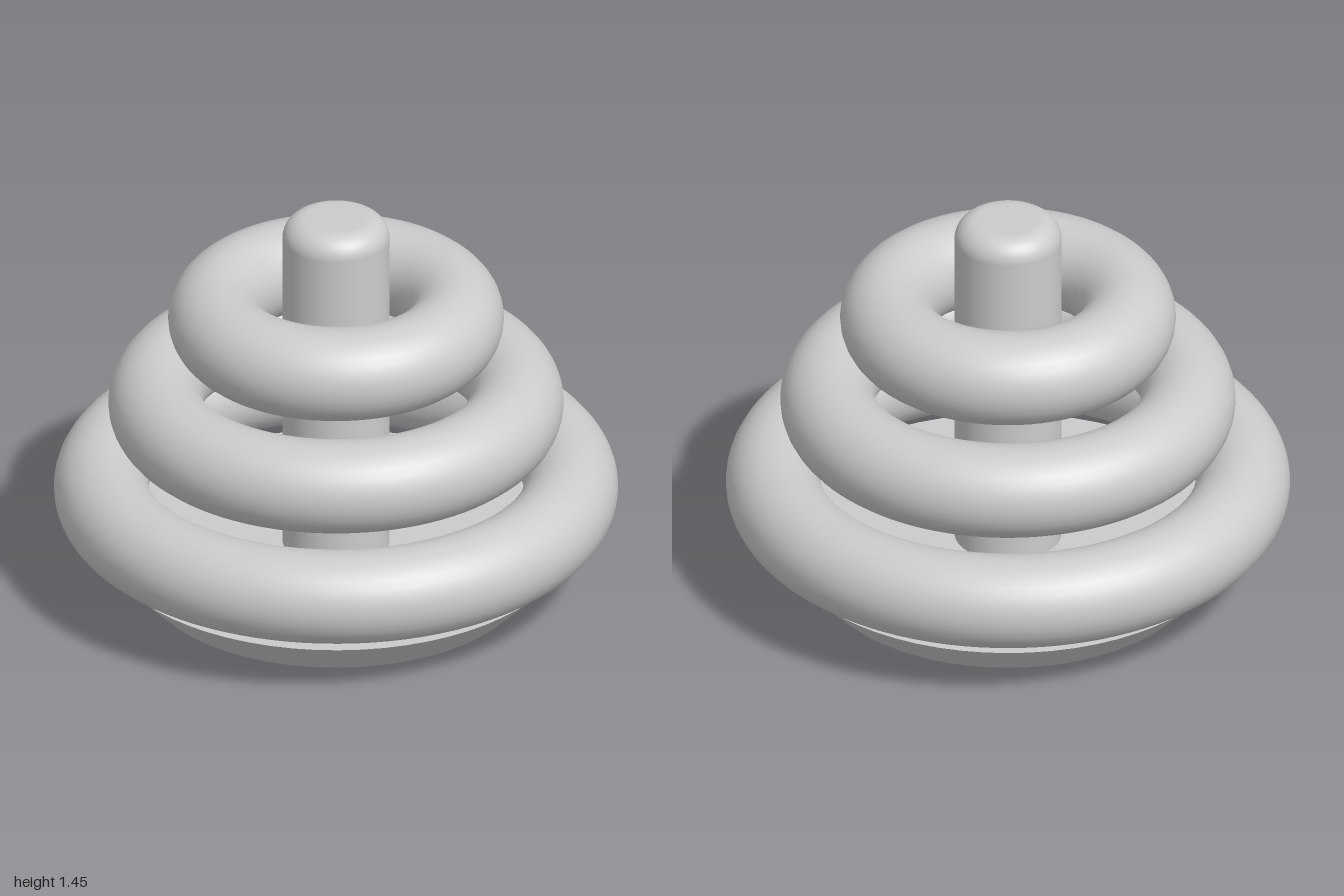
import * as THREE from 'three';

const material = new THREE.MeshStandardMaterial({ color: 0xcccccc });

function addPart(group, name, geometry, y = 0) {
  const mesh = new THREE.Mesh(geometry, material);
  mesh.name = name;
  mesh.position.y = y;
  group.add(mesh);
}

export function createModel() {
  const group = new THREE.Group();
  group.name = 'stackingRings';

  // Base: a disc that flares out towards its top
  const baseHeight = 0.15;
  addPart(group, 'base', new THREE.CylinderGeometry(0.83, 0.68, baseHeight, 64), baseHeight / 2);

  // Peg: straight shaft with a rounded shoulder and a flat tip
  const pegRadius = 0.19, pegTop = 1.445, fillet = 0.08;
  const profile = [new THREE.Vector2(pegRadius, baseHeight)];
  const steps = 10;
  for (let i = 0; i <= steps; i++) {
    const a = (i / steps) * Math.PI / 2;
    profile.push(new THREE.Vector2(
      pegRadius - fillet + fillet * Math.cos(a),
      pegTop - fillet + fillet * Math.sin(a)
    ));
  }
  addPart(group, 'peg', new THREE.LatheGeometry(profile, 48));
  const tip = new THREE.CircleGeometry(pegRadius - fillet, 48).rotateX(-Math.PI / 2);
  addPart(group, 'pegTip', tip, pegTop);

  // Rings: equal thickness, smaller towards the top
  const tube = 0.168;
  const rings = [
    ['bottomRing', 1.0, 0.367],
    ['middleRing', 0.807, 0.707],
    ['topRing', 0.595, 1.045],
  ];
  for (const [name, outerRadius, y] of rings) {
    const ring = new THREE.TorusGeometry(outerRadius - tube, tube, 32, 96).rotateX(Math.PI / 2);
    addPart(group, name, ring, y);
  }

  return group;
}
